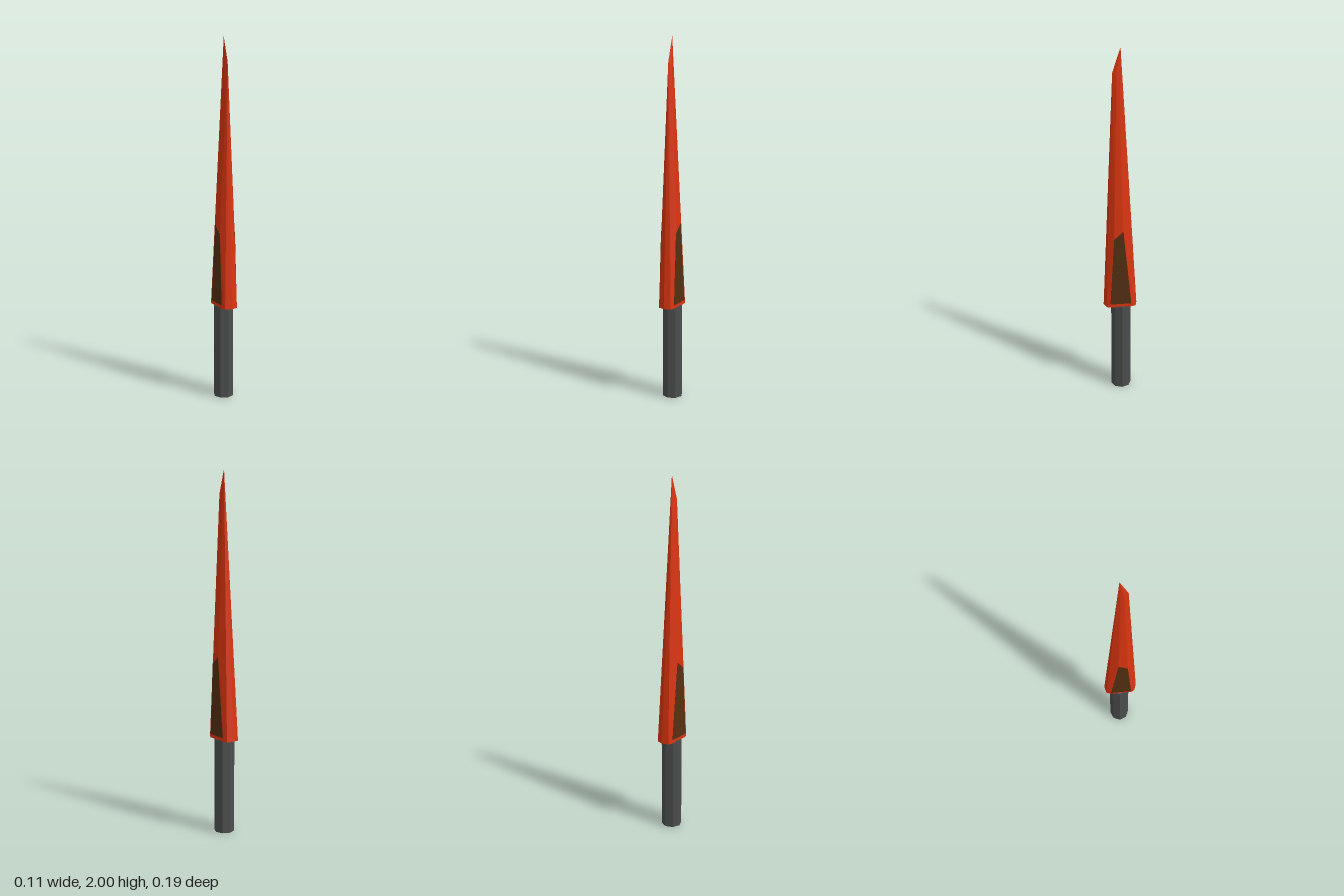
import * as THREE from 'three';
import { ConvexGeometry } from 'three/addons/geometries/ConvexGeometry.js';

export function createModel() {
  const mat = (name, color) => {
    const m = new THREE.MeshStandardMaterial({ color, flatShading: true });
    m.name = name;
    return m;
  };
  const red = mat('red', 0xdc3510);
  const brown = mat('dark brown', 0x553012);
  const grey = mat('dark grey', 0x4c4e4d);

  const model = new THREE.Group();
  const add = (name, geometry, material) => {
    const mesh = new THREE.Mesh(geometry, material);
    mesh.name = name;
    model.add(mesh);
    return mesh;
  };

  // Octagonal handle with a corner on each side
  const handle = add('handle', new THREE.CylinderGeometry(0.056, 0.056, 0.533, 8), grey);
  handle.position.set(0, 0.2665, -0.006);

  // Faceted blade: corner points of one half, mirrored across x
  const half = [
    [0.037, 0.53, -0.084], [0.046, 0.53, -0.063],
    [0.046, 0.53, 0.063], [0.037, 0.53, 0.081],
    [0.046, 1.0, -0.013], [0.046, 0.95, 0.037],
    [0.01, 1.83, 0.002], [0.01, 1.85, 0.02],
  ];
  const points = [
    [0, 0.53, -0.094], [0, 0.53, 0.093], // base edges
    [0, 1.87, 0.04], [0, 2, -0.003], // shoulder and tip
  ].map((p) => new THREE.Vector3(...p));
  for (const [x, y, z] of half) {
    points.push(new THREE.Vector3(x, y, z), new THREE.Vector3(-x, y, z));
  }
  add('blade', new ConvexGeometry(points), red);

  // Thin dark panel on each flat side of the blade, drawn as (-z, y)
  const outline = new THREE.Shape([
    new THREE.Vector2(-0.06, 0.55), new THREE.Vector2(0.058, 0.55),
    new THREE.Vector2(0.013, 0.995), new THREE.Vector2(-0.038, 0.95),
  ]);
  const panel = new THREE.ExtrudeGeometry(outline, { depth: 0.003, bevelEnabled: false });
  panel.rotateY(Math.PI / 2);
  add('leftPanel', panel, brown).position.x = 0.0445;
  add('rightPanel', panel, brown).position.x = -0.0475;

  return model;
}
